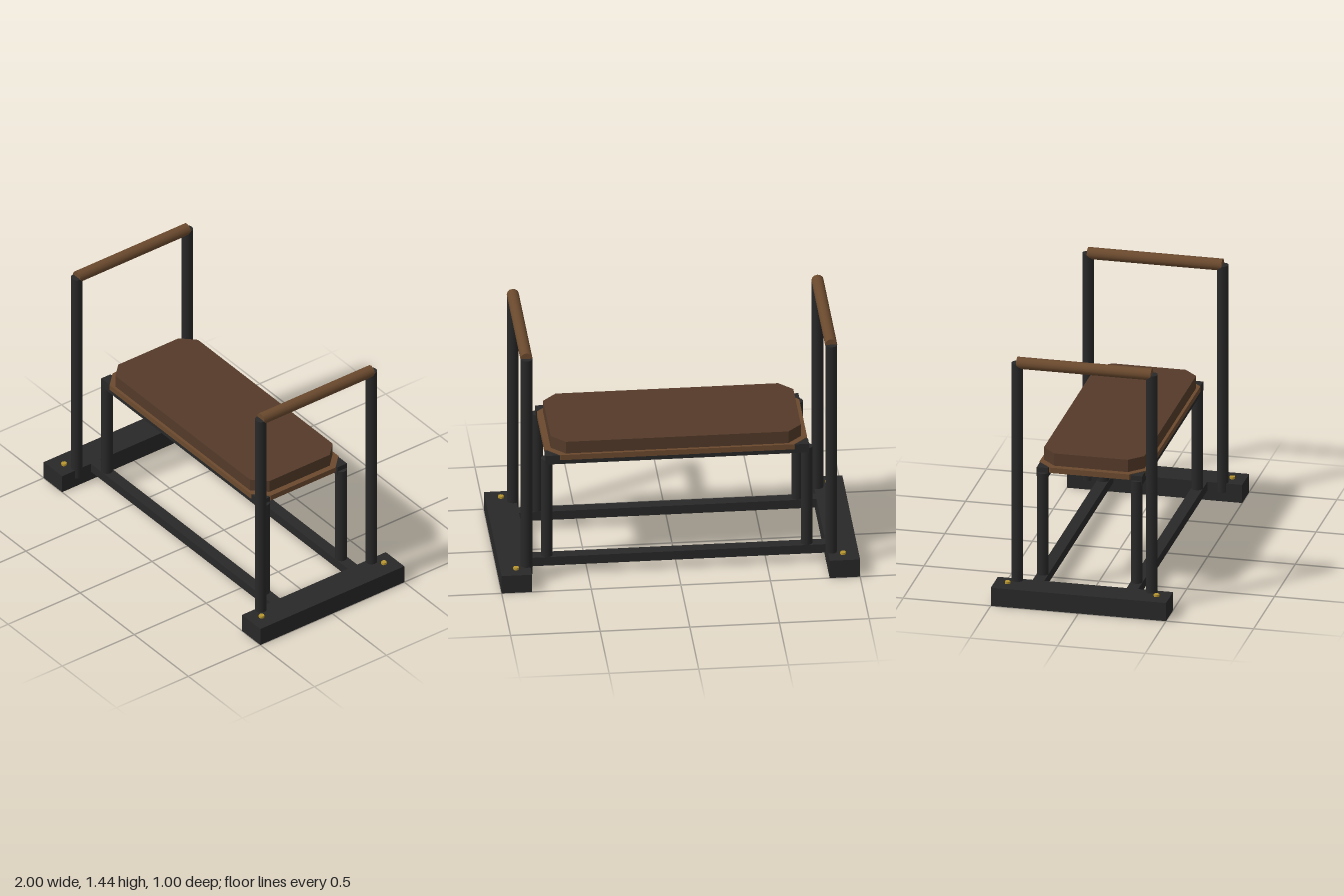
import * as THREE from 'three';

const steel = new THREE.MeshStandardMaterial({ color: 0x282828, side: THREE.DoubleSide });
const wood = new THREE.MeshStandardMaterial({ color: 0x6b4a2e });
const leather = new THREE.MeshStandardMaterial({ color: 0x543a29 });
const brass = new THREE.MeshStandardMaterial({ color: 0xb8962e });

function add(parent, name, geometry, material, x = 0, y = 0, z = 0) {
  const mesh = new THREE.Mesh(geometry, material);
  mesh.name = name;
  mesh.position.set(x, y, z);
  parent.add(mesh);
  return mesh;
}

// Folded channel: a box without its underside, standing on y = 0
function channel(w, h, d) {
  const geo = new THREE.BoxGeometry(w, h, d).translate(0, h / 2, 0);
  const index = Array.from(geo.index.array);
  index.splice(18, 6); // the -y face
  geo.setIndex(index);
  geo.clearGroups();
  return geo;
}

// Upright round tube from y0 to y1
function tube(r, y0, y1) {
  return new THREE.CylinderGeometry(r, r, y1 - y0, 12).translate(0, (y0 + y1) / 2, 0);
}

// Flat slab with cut corners, standing on y = 0
function slab(hx, hz, cut, height) {
  const shape = new THREE.Shape([
    [hx, hz - cut], [hx - cut, hz], [cut - hx, hz], [-hx, hz - cut],
    [-hx, cut - hz], [cut - hx, -hz], [hx - cut, -hz], [hx, cut - hz],
  ].map(([x, z]) => new THREE.Vector2(x, z)));
  return new THREE.ExtrudeGeometry(shape, { depth: height, bevelEnabled: false }).rotateX(-Math.PI / 2);
}

export function createModel() {
  const model = new THREE.Group();
  model.name = 'benchWithHandrails';

  for (const sx of [1, -1]) {
    const side = sx > 0 ? 'left' : 'right';

    // Foot beam and hand grip at each end
    add(model, `${side}Foot`, channel(0.17, 0.108, 1), steel, sx * 0.915, 0, 0);
    const grip = new THREE.CylinderGeometry(0.034, 0.034, 0.768, 12).rotateX(Math.PI / 2);
    add(model, `${side}Grip`, grip, wood, sx * 0.85, 1.405, 0);

    for (const sz of [1, -1]) {
      const corner = `${side}${sz > 0 ? 'Front' : 'Back'}`;
      add(model, `${corner}HandrailPost`, tube(0.033, 0.055, 1.405), steel, sx * 0.85, 0, sz * 0.384);
      add(model, `${corner}BenchLeg`, tube(0.033, 0.09, 0.715), steel, sx * 0.725, 0, sz * 0.268);
      add(model, `${corner}Bolt`, new THREE.CylinderGeometry(0.016, 0.016, 0.03, 8), brass,
        sx * 0.912, 0.106, sz * 0.425);
    }
  }

  // Long floor rails and seat rails
  for (const sz of [1, -1]) {
    const end = sz > 0 ? 'front' : 'back';
    add(model, `${end}FloorRail`, channel(1.72, 0.053, 0.066), steel, 0, 0.055, sz * 0.268);
    add(model, `${end}SeatRail`, channel(1.47, 0.054, 0.066), steel, 0, 0.69, sz * 0.268);
  }

  // Seat board and cushion
  add(model, 'seatBoard', slab(0.732, 0.304, 0.08, 0.032), wood, 0, 0.715, 0);
  add(model, 'seatCushion', slab(0.698, 0.287, 0.077, 0.073), leather, 0, 0.747, 0);

  return model;
}
